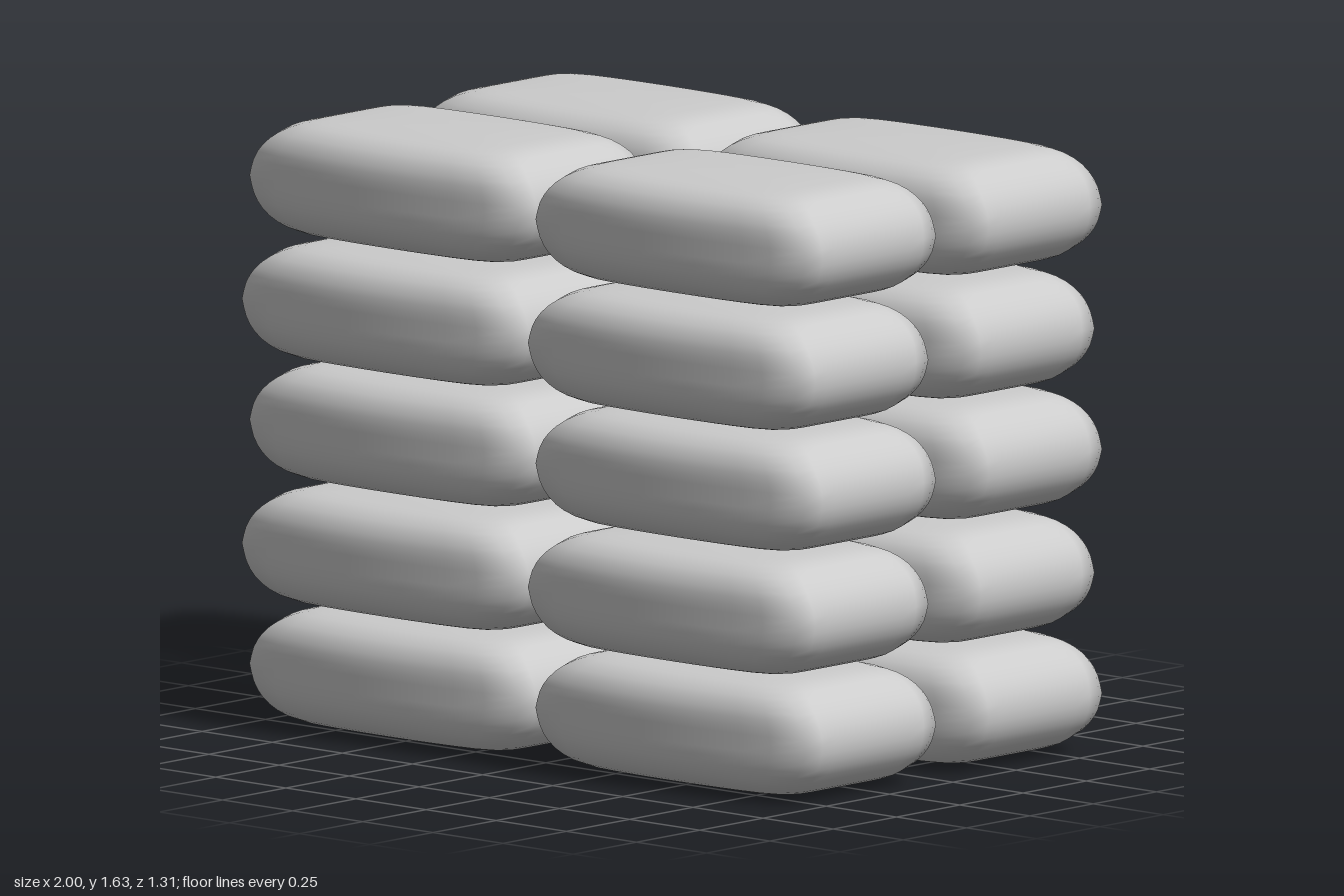
import * as THREE from 'three';

// Upper half of the sack profile: height, length scale, depth scale
const PROFILE = [
  [0, 1, 1], [0.045, 0.985, 1], [0.085, 0.94, 0.975], [0.12, 0.87, 0.9],
  [0.144, 0.78, 0.77], [0.154, 0.64, 0.58], [0.159, 0.36, 0.3], [0.161, 0, 0],
];
const HALF_LENGTH = 0.49;
const END_DEPTH = 0.26; // half depth at the short ends
const BULGE = 0.05; // extra half depth at the middle

// Pillow made of stacked outlines: sharp corners at the seam, rounder towards top and bottom
function sackGeometry() {
  const upper = PROFILE.map(([y, sx, sz]) => new THREE.Vector3(sx, y, sz));
  const lower = PROFILE.slice(1).reverse().map(([y, sx, sz]) => new THREE.Vector3(sx, -y, sz));
  const curve = new THREE.CatmullRomCurve3([...lower, ...upper]);
  const rings = 28, perSide = 12, count = perSide * 4;
  const positions = [], index = [];

  for (let i = 0; i <= rings; i++) {
    const p = curve.getPoint(i / rings);
    const rise = Math.min(1, Math.abs(p.y) / 0.16);
    const power = THREE.MathUtils.lerp(40, 7, Math.sqrt(rise));
    for (let j = 0; j < count; j++) {
      // Walk around a square from the +x side towards +z
      const side = Math.floor(j / perSide);
      const t = Math.tan(((j % perSide) / perSide - 0.5) * Math.PI / 2);
      const [u, w] = [[1, t], [-t, 1], [-1, -t], [t, -1]][side];
      const k = Math.pow(Math.abs(u) ** power + Math.abs(w) ** power, -1 / power);
      const depth = END_DEPTH + BULGE * (1 - (u * k * p.x) ** 2);
      positions.push(u * k * p.x * HALF_LENGTH, p.y, w * k * p.z * depth);
    }
  }
  for (let i = 0; i < rings; i++) {
    for (let j = 0; j < count; j++) {
      const n = (j + 1) % count;
      const a = i * count + j, b = i * count + n;
      const c = a + count, d = b + count;
      index.push(a, c, b, b, c, d);
    }
  }
  const geometry = new THREE.BufferGeometry();
  geometry.setAttribute('position', new THREE.Float32BufferAttribute(positions, 3));
  geometry.setIndex(index);
  geometry.computeVertexNormals();
  return geometry;
}

export function createModel() {
  const model = new THREE.Group();
  model.name = 'sackStack';
  const geometry = sackGeometry();
  const material = new THREE.MeshStandardMaterial({ color: 0xcccccc, roughness: 0.9 });

  // Five layers of four sacks, alternate layers shifted slightly in depth
  for (let level = 0; level < 5; level++) {
    const layer = new THREE.Group();
    layer.name = `layer${level + 1}`;
    layer.position.set(0, 0.165 + level * 0.328, level % 2 ? 0.017 : -0.013);
    for (const x of [-1, 1]) {
      for (const z of [-1, 1]) {
        const sack = new THREE.Mesh(geometry, material);
        sack.name = `${z > 0 ? 'front' : 'back'}${x > 0 ? 'Left' : 'Right'}Sack`;
        sack.position.set(x * 0.51, 0, z * 0.328);
        layer.add(sack);
      }
    }
    model.add(layer);
  }
  return model;
}
